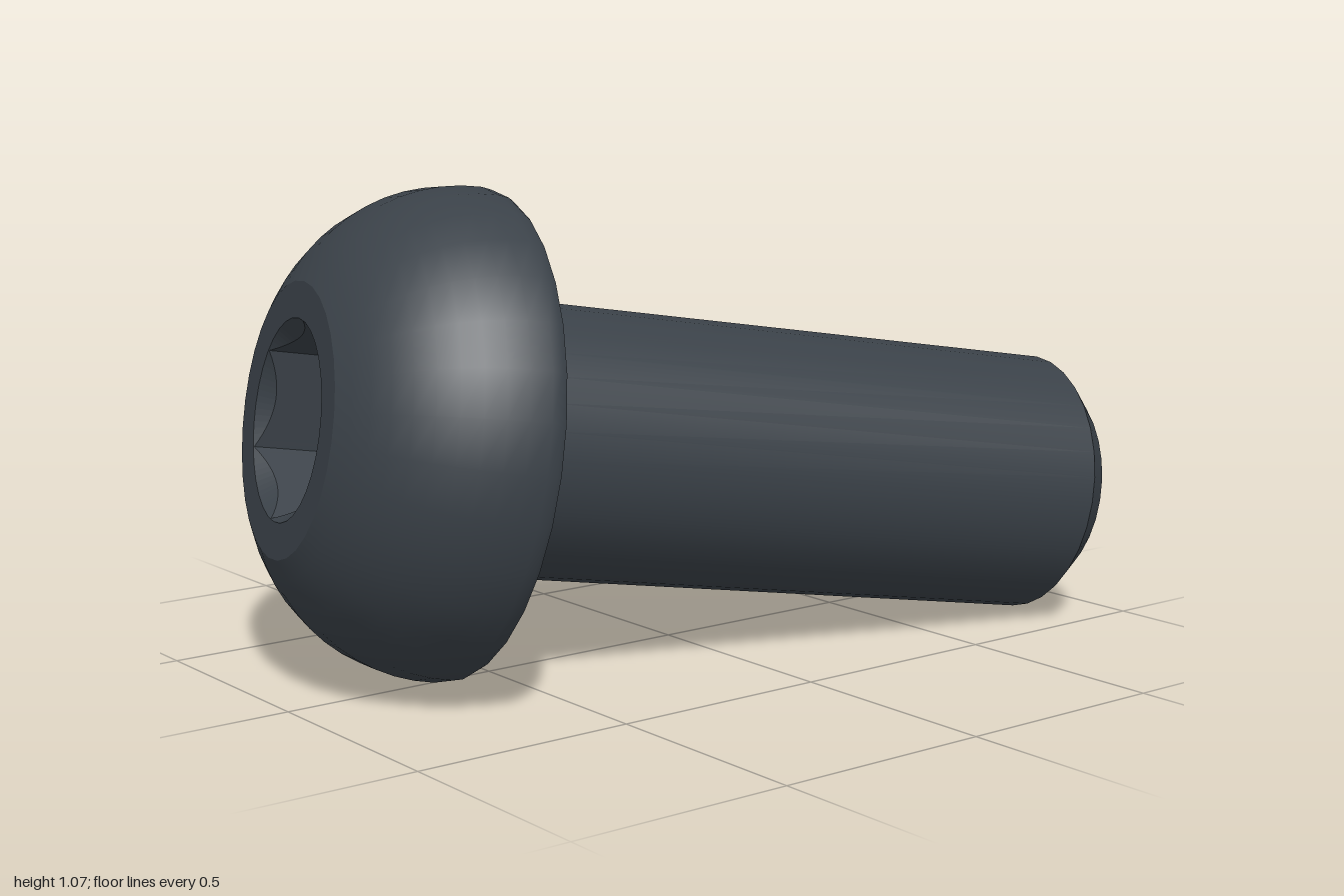
import * as THREE from 'three';

const SIDES = 32;
const SHAFT_R = 0.304, HEAD_R = 0.534, FACE_R = 0.293, MOUTH_R = 0.215;
const UNDER = 1.527, TOP = 1.927; // heights along the bolt axis, tip at 0

export function createModel() {
  const steel = new THREE.MeshStandardMaterial({ color: 0x3a4148 });
  steel.name = 'dark steel';
  const bolt = new THREE.Group();
  bolt.name = 'buttonHeadBolt';

  const add = (name, geometry) => {
    const mesh = new THREE.Mesh(geometry, steel);
    mesh.name = name;
    bolt.add(mesh);
  };
  // Each turned section is its own lathe, so the edges between them stay sharp
  const turn = (name, points) =>
    add(name, new THREE.LatheGeometry(points.map(([r, y]) => new THREE.Vector2(r, y)), SIDES));
  const arc = (cr, cy, rr, ry, from, to, n) =>
    Array.from({ length: n + 1 }, (_, i) => {
      const a = from + ((to - from) * i) / n;
      return [cr + rr * Math.cos(a), cy + ry * Math.sin(a)];
    });

  // Shaft with chamfered tip and a fillet under the head
  const fillet = 0.035;
  turn('tipFace', [[0, 0], [0.243, 0]]);
  turn('tipChamfer', [[0.243, 0], [SHAFT_R, 0.068]]);
  turn('shaft', [[SHAFT_R, 0.068], [SHAFT_R, UNDER - fillet - 0.01],
    ...arc(SHAFT_R + fillet, UNDER - fillet, fillet, fillet, Math.PI, Math.PI / 2, 5)]);

  // Domed head
  turn('headUnderside', [[SHAFT_R + fillet, UNDER], [0.524, UNDER]]);
  const domeR = 0.4, domeC = HEAD_R - domeR, domeY = UNDER + 0.035;
  const domeEnd = Math.acos((FACE_R - domeC) / domeR);
  turn('headDome', [[0.524, UNDER], [0.531, UNDER + 0.012],
    ...arc(domeC, domeY, domeR, (TOP - domeY) / Math.sin(domeEnd), 0, domeEnd, 10)]);

  // Flat ring around the socket
  turn('headFace', [[FACE_R, TOP], [MOUTH_R, TOP]]);

  // Hexagonal socket: countersunk round mouth, six flat walls, flat floor
  add('hexSocket', socketGeometry());

  // Tilt the axis: local y runs from the tip towards the head
  const axis = new THREE.Vector3(-0.967, 0.156, -0.201).normalize();
  const up = new THREE.Vector3(0, 1, 0).addScaledVector(axis, -axis.y).normalize();
  const side = new THREE.Vector3().crossVectors(up, axis);
  bolt.quaternion.setFromRotationMatrix(new THREE.Matrix4().makeBasis(up, axis, side));
  bolt.position.set(0.938, 0.293, 0.278);

  const model = new THREE.Group();
  model.name = 'bolt';
  model.add(bolt);
  return model;
}

function socketGeometry() {
  const steps = 96, depth = 0.18, apothem = 0.185, turnBy = THREE.MathUtils.degToRad(5.6);
  const sector = Math.PI / 3;
  // Four loops: mouth circle, scalloped cone edge, wall foot, floor centre
  const column = (i) => {
    const t = (i / steps) * Math.PI * 2;
    const hexR = apothem / Math.cos((t % sector) - sector / 2);
    const p = (r, y) => [r * Math.cos(t + turnBy), y, r * Math.sin(t + turnBy)];
    return [p(MOUTH_R, TOP), p(hexR, TOP - (MOUTH_R - hexR) * 1.1),
      p(hexR, TOP - depth), p(0, TOP - depth)];
  };
  const positions = [];
  for (let i = 0; i < steps; i++) {
    const a = column(i), b = column((i + 1) % steps);
    for (let k = 0; k < 3; k++) {
      if (k < 2) positions.push(...a[k + 1], ...b[k + 1], ...a[k]);
      positions.push(...b[k + 1], ...b[k], ...a[k]);
    }
  }
  const geometry = new THREE.BufferGeometry();
  geometry.setAttribute('position', new THREE.Float32BufferAttribute(positions, 3));
  geometry.computeVertexNormals();
  return geometry;
}
